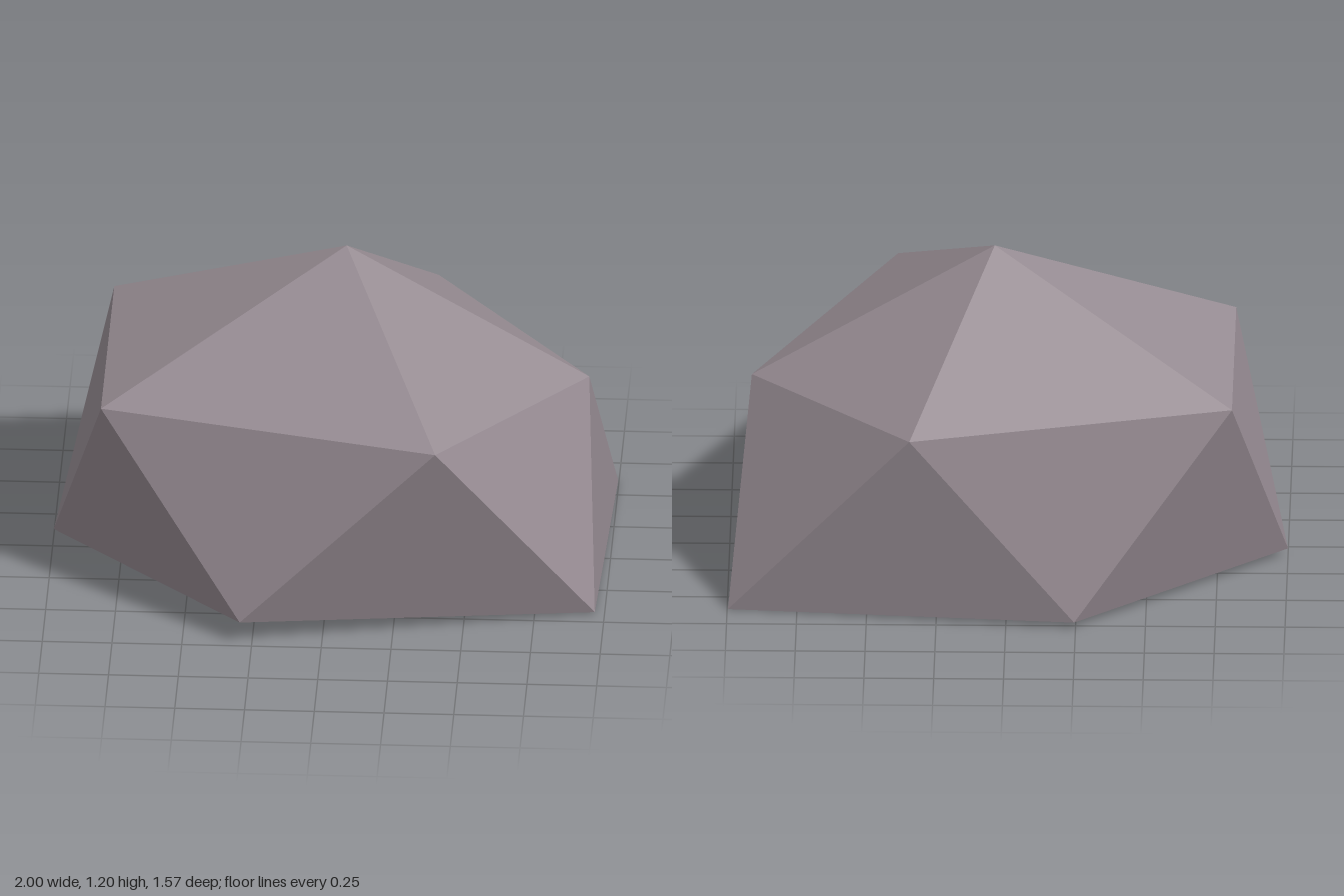
import * as THREE from 'three';

// Faceted boulder: a squashed twenty-sided solid made of a peak, two rings of five and a base point
export function createModel() {
  const group = new THREE.Group();
  group.name = 'boulder';

  const stone = new THREE.MeshStandardMaterial({ color: 0x978c93 });
  stone.name = 'stone grey';
  stone.flatShading = true;

  const peak = [0.05, 1.195, -0.08];
  const base = [0.05, 0.02, -0.08];
  // Both rings run counterclockwise seen from above, lower[i] sitting between upper[i] and upper[i + 1]
  const upper = [
    [0.41, 0.803, 0.785], [0.92, 0.69, -0.08], [0.345, 0.723, -0.785],
    [-0.807, 0.762, -0.563], [-0.807, 0.762, 0.4],
  ];
  const lower = [
    [0.965, 0.005, 0.432], [0.997, 0, -0.613], [-0.245, 0.025, -0.78],
    [-1, 0.027, -0.08], [-0.293, 0.087, 0.737],
  ];

  const corners = [];
  for (let i = 0; i < 5; i++) {
    const j = (i + 1) % 5;
    corners.push(
      peak, upper[i], upper[j], // cap
      upper[i], lower[i], upper[j], // sides
      lower[i], lower[j], upper[j],
      base, lower[j], lower[i], // underside
    );
  }

  const geometry = new THREE.BufferGeometry();
  geometry.setAttribute('position', new THREE.Float32BufferAttribute(corners.flat(), 3));
  geometry.computeVertexNormals();

  const rock = new THREE.Mesh(geometry, stone);
  rock.name = 'rock';
  group.add(rock);
  return group;
}
